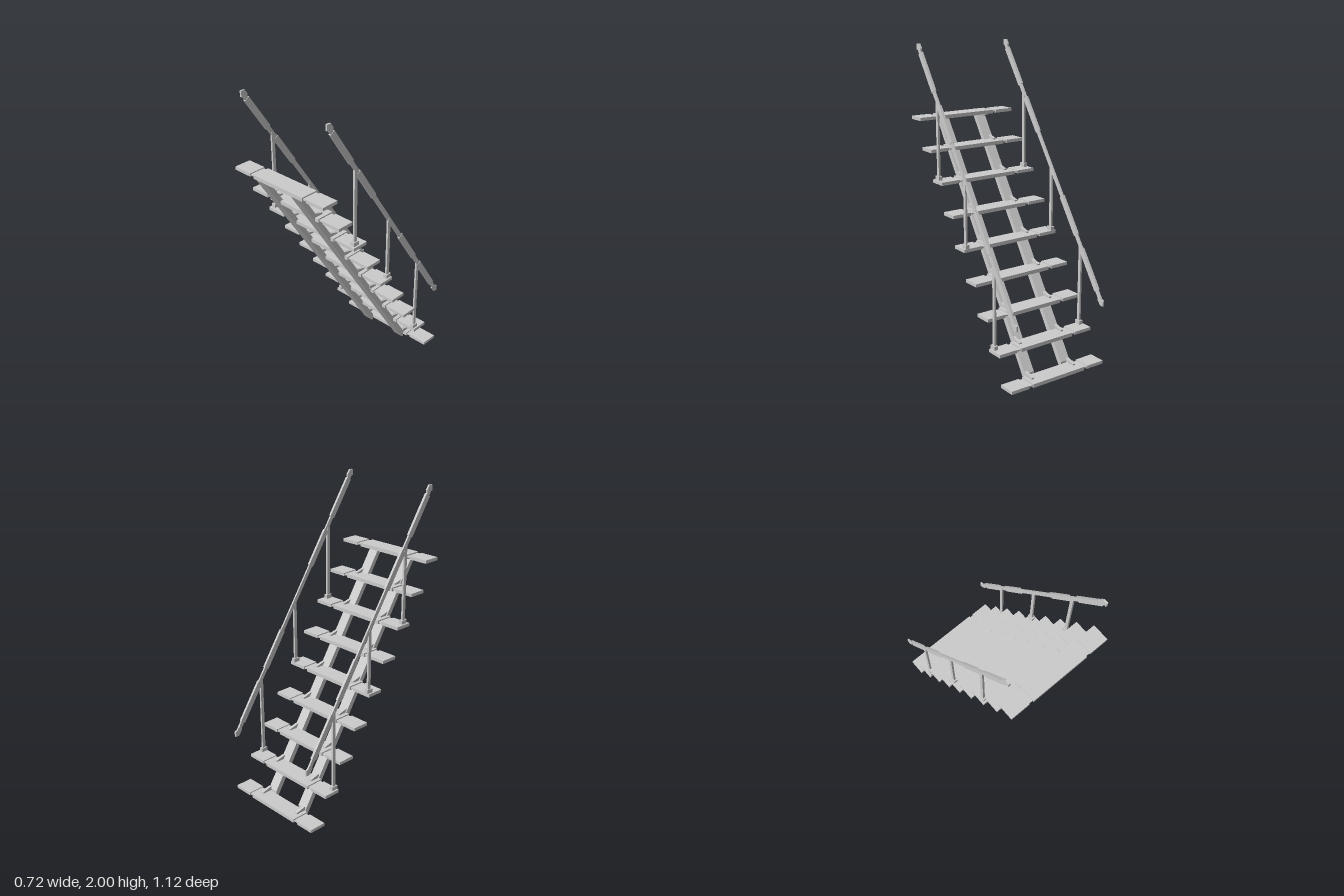
import * as THREE from 'three';

const material = new THREE.MeshStandardMaterial({ color: 0xcccccc, flatShading: true });
const STEPS = 9;
const treadZ = (i) => -0.488 + i * 0.1236;
const treadY = (i) => 0.023 + i * 0.188;
// Height of the handrail centre line at depth z
const railY = (z) => 1.97 + (z - 0.48) * 1.502;

function add(parent, name, geometry, x = 0, y = 0, z = 0) {
  const mesh = new THREE.Mesh(geometry, material);
  mesh.name = name;
  mesh.position.set(x, y, z);
  parent.add(mesh);
  return mesh;
}

function box(parent, name, w, h, d, x, y, z) {
  return add(parent, name, new THREE.BoxGeometry(w, h, d), x, y, z);
}

// Side outline given as [z, y] points, extruded across x and centred on it
function sideProfile(parent, name, points, width, x) {
  const shape = new THREE.Shape(points.map(([z, y]) => new THREE.Vector2(z, y)));
  const geometry = new THREE.ExtrudeGeometry(shape, { depth: width, bevelEnabled: false });
  geometry.translate(0, 0, -width / 2).rotateY(-Math.PI / 2);
  return add(parent, name, geometry, x);
}

// Bar lying along the handrail line between two depths
function railBar(parent, name, z0, z1, thick, width, x) {
  const length = Math.hypot(z1 - z0, railY(z1) - railY(z0));
  const zm = (z0 + z1) / 2;
  const bar = box(parent, name, width, thick, length, x, railY(zm), zm);
  bar.rotation.x = -Math.atan(1.502);
}

function buildTread(i) {
  const tread = new THREE.Group();
  tread.name = 'tread';
  const y = treadY(i), z = treadZ(i);
  box(tread, 'treadCentre', 0.4, 0.024, 0.117, 0, y, z);
  for (const s of [-1, 1]) {
    box(tread, 'treadNeck', 0.034, 0.009, 0.102, s * 0.215, y, z);
    box(tread, 'treadEnd', 0.131, 0.021, 0.112, s * 0.2945, y, z);
    // Gusset ties the tread to the stringer; below the top tread, above the others
    const top = i === STEPS - 1;
    const points = top
      ? [[z + 0.045, y - 0.01], [z - 0.04, y - 0.01], [z - 0.04, y - 0.018], [z + 0.02, y - 0.038], [z + 0.035, y - 0.035]]
      : [[z - 0.003, y + 0.01], [z + 0.066, y + 0.01], [z + 0.066, y + 0.038], [z + 0.055, y + 0.036], [z - 0.003, y + 0.021]];
    sideProfile(tread, 'gusset', points, 0.019, s * 0.165);
  }
  return tread;
}

function buildRailing(x) {
  const railing = new THREE.Group();
  railing.name = x > 0 ? 'leftRailing' : 'rightRailing';

  // Posts with a foot block, cut at the rail slope on top
  for (const [i, z] of [[1, -0.33], [4, -0.027], [6, 0.275]]) {
    const base = treadY(i) + 0.01;
    box(railing, 'postFoot', 0.026, 0.028, 0.042, x, base + 0.012, z);
    sideProfile(railing, 'post', [
      [z - 0.011, base], [z + 0.011, base], [z + 0.011, railY(z + 0.011)], [z - 0.011, railY(z - 0.011)],
    ], 0.013, x);
  }

  // Thin core with four thicker grips
  railBar(railing, 'railCore', -0.54, 0.485, 0.026, 0.011, x);
  for (const [z0, z1] of [[-0.498, -0.34], [-0.288, -0.14], [0.115, 0.255], [0.31, 0.462]]) {
    railBar(railing, 'railGrip', z0, z1, 0.037, 0.016, x);
  }

  // End caps
  sideProfile(railing, 'railTopCap', [
    [0.5, 1.962], [0.5, 2], [0.472, 2], [0.452, 1.972], [0.456, 1.93], [0.48, 1.965],
  ], 0.012, x);
  sideProfile(railing, 'railBottomCap', [
    [-0.56, 0.414], [-0.535, 0.414], [-0.508, 0.45], [-0.52, 0.485], [-0.541, 0.456], [-0.56, 0.45],
  ], 0.012, x);
  return railing;
}

export function createModel() {
  const model = new THREE.Group();
  model.name = 'staircase';

  for (let i = 0; i < STEPS; i++) model.add(buildTread(i));

  // Two sloping stringers behind the treads
  for (const x of [-0.147, 0.139]) {
    sideProfile(model, 'stringer', [
      [0.557, 1.516], [0.522, 1.516], [-0.424, 0.045], [-0.424, 0], [-0.412, 0],
    ], 0.07, x);
  }

  for (const x of [-0.336, 0.336]) model.add(buildRailing(x));
  return model;
}
